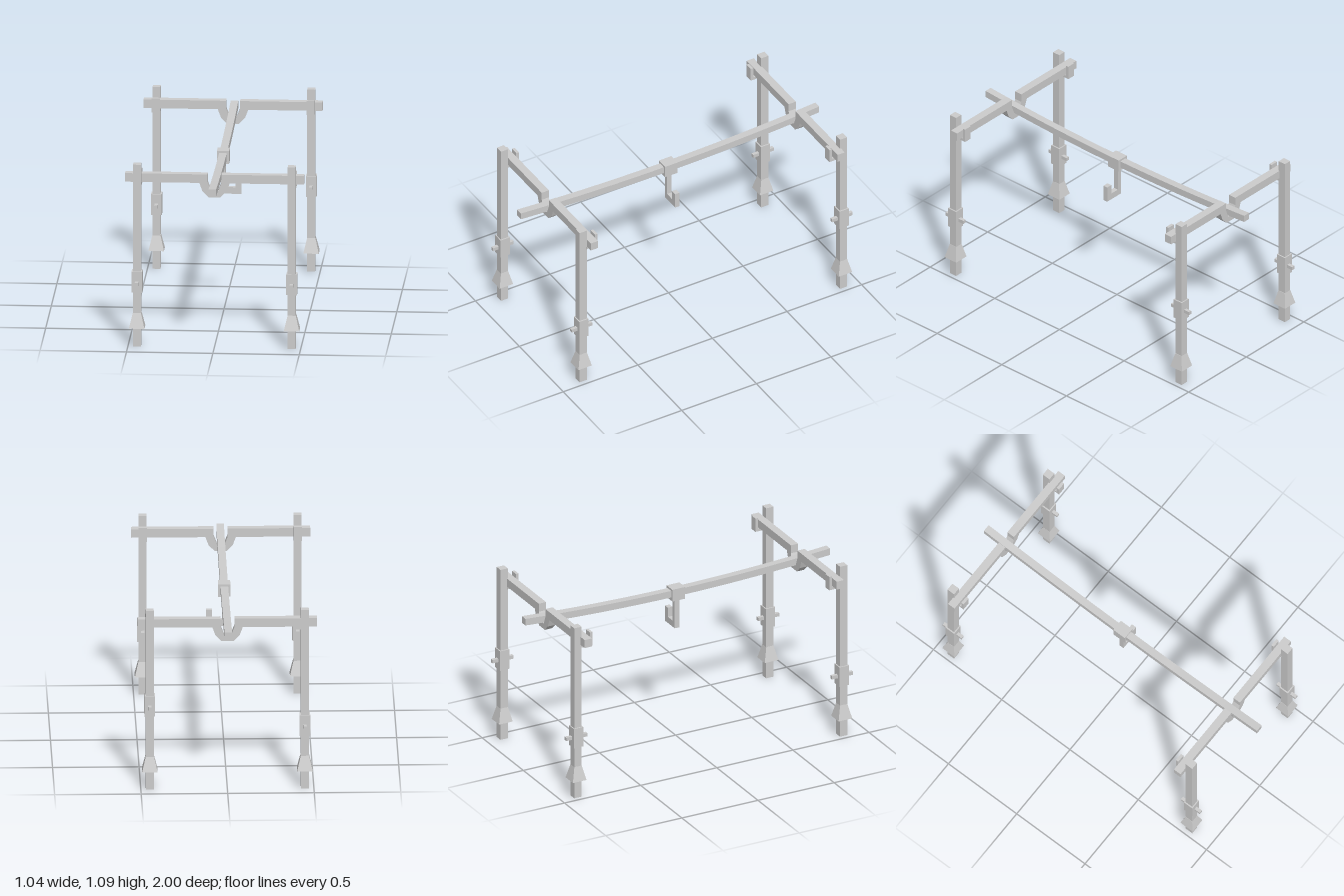
import * as THREE from 'three';

const material = new THREE.MeshStandardMaterial({ color: 0xcccccc, flatShading: true });

function add(parent, name, geometry, x = 0, y = 0, z = 0) {
  const mesh = new THREE.Mesh(geometry, material);
  mesh.name = name;
  mesh.position.set(x, y, z);
  parent.add(mesh);
  return mesh;
}

// Box given by its limits on each axis
function box(parent, name, [x0, x1], [y0, y1], [z0, z1]) {
  return add(parent, name, new THREE.BoxGeometry(x1 - x0, y1 - y0, z1 - z0),
    (x0 + x1) / 2, (y0 + y1) / 2, (z0 + z1) / 2);
}

// Flat outline in x and y, extruded and centred on z
function plate(points, depth) {
  const shape = new THREE.Shape(points.map(([x, y]) => new THREE.Vector2(x, y)));
  return new THREE.ExtrudeGeometry(shape, { depth, bevelEnabled: false }).translate(0, 0, -depth / 2);
}

// One leg, built around its own axis; inward is the z direction of the crossbar
function makeLeg(name, inward, sleeveY) {
  const leg = new THREE.Group();
  leg.name = name;
  box(leg, 'post', [-0.023, 0.023], [0, 1.086], [-0.024, 0.024]);

  // Flared foot collar
  const flare = new THREE.CylinderGeometry(0.024 * Math.SQRT2, 0.045 * Math.SQRT2, 0.088, 4);
  add(leg, 'footCollar', flare.rotateY(Math.PI / 4), 0, 0.155, 0);

  // Height sleeve and its locking peg
  box(leg, 'sleeve', [-0.031, 0.031], [sleeveY - 0.062, sleeveY + 0.062], [-0.031, 0.031]);
  box(leg, 'peg', [-0.01, 0.01], [sleeveY - 0.015, sleeveY + 0.006], [-0.069, 0.069]);

  // Bracket holding the crossbar: shelf and upturned lip
  const bracket = new THREE.Group();
  bracket.name = 'bracket';
  box(bracket, 'shelf', [-0.024, 0.024], [0.952, 0.97], [0.02, 0.095]);
  box(bracket, 'lip', [-0.024, 0.024], [0.952, 1.037], [0.078, 0.095]);
  if (inward < 0) bracket.rotation.y = Math.PI;
  leg.add(bracket);
  return leg;
}

export function createModel() {
  const model = new THREE.Group();
  model.name = 'trestleFrame';

  // Legs; the back left one has its sleeve set higher
  for (const [end, z, inward] of [['front', 0.849, -1], ['back', -0.896, 1]]) {
    for (const side of [-1, 1]) {
      const raised = end === 'back' && side > 0;
      const leg = makeLeg(end + (side > 0 ? 'Left' : 'Right') + 'Leg', inward, raised ? 0.508 : 0.385);
      leg.position.set(side * 0.448, 0, z);
      model.add(leg);
    }
  }

  // Crossbars with a dropped cradle in the middle
  const half = [[0.021, 0.922], [0.04, 0.971], [0.04, 1.022], [0.518, 1.022],
    [0.518, 0.971], [0.088, 0.971], [0.07, 0.922], [0.034, 0.886]];
  const outline = [...half, ...half.map(([x, y]) => [-x, y]).reverse()];
  add(model, 'frontCrossbar', plate(outline, 0.048), -0.002, 0, 0.801);
  add(model, 'backCrossbar', plate(outline, 0.048), -0.002, 0, -0.854);

  // Sagging ridge pole
  const pole = new THREE.BoxGeometry(0.044, 0.042, 2, 1, 1, 16);
  const p = pole.attributes.position;
  for (let i = 0; i < p.count; i++) p.setY(i, p.getY(i) + 0.037 * p.getZ(i) ** 2);
  pole.computeVertexNormals();
  add(model, 'ridgePole', pole, -0.004, 0.921, 0);

  // Clamp and hanging hook
  box(model, 'clamp', [-0.039, 0.032], [0.879, 0.954], [-0.042, 0.042]);
  const hook = [[-0.017, 0.89], [-0.017, 0.693], [0.101, 0.693], [0.101, 0.79],
    [0.066, 0.79], [0.066, 0.732], [0.009, 0.732], [0.009, 0.89]];
  add(model, 'hook', plate(hook, 0.03));

  return model;
}
